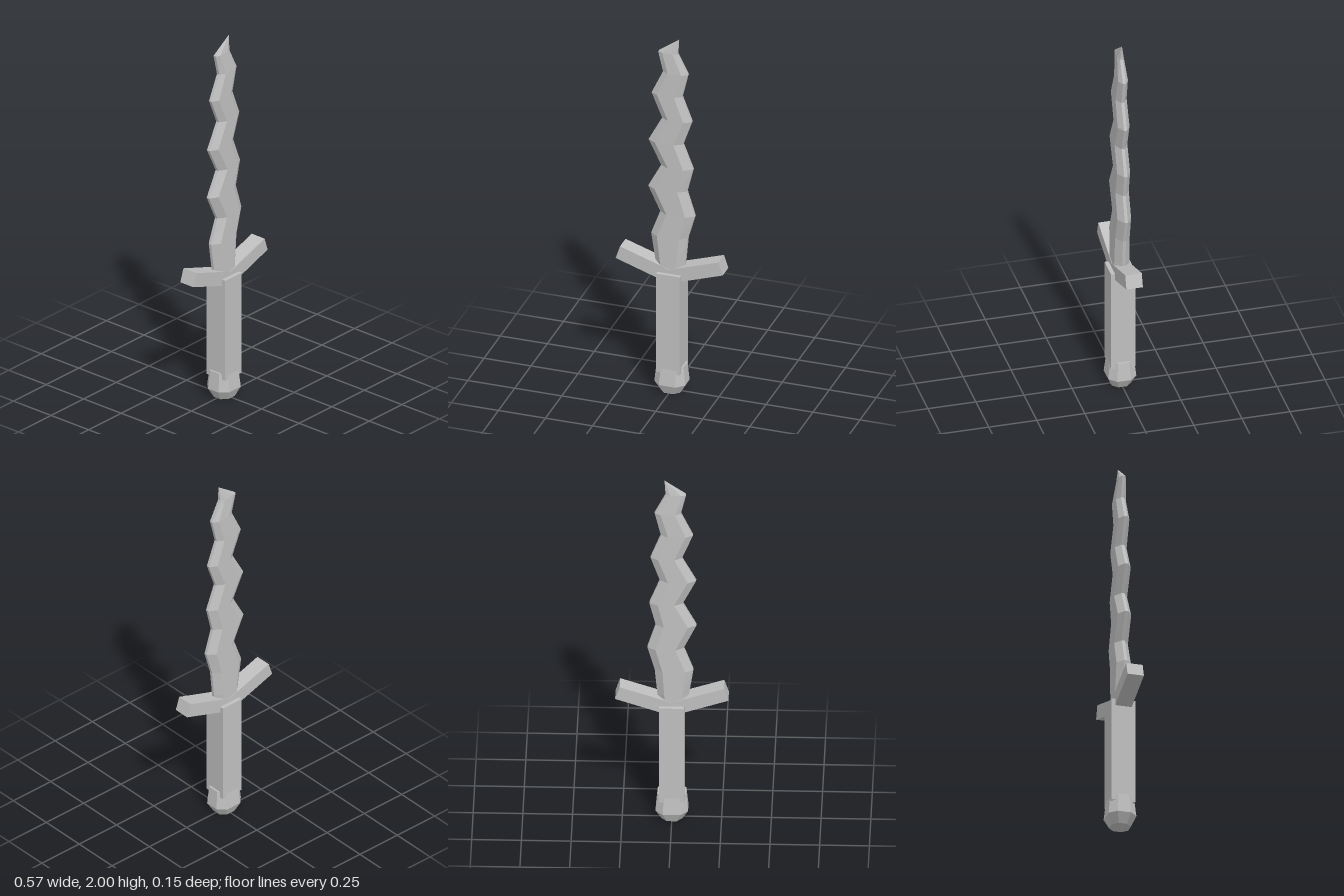
import * as THREE from 'three';

const steel = new THREE.MeshStandardMaterial({ color: 0xbfbfbf });
steel.name = 'grey steel';

// Closed flat-faced loft through rings of points (counterclockwise seen from above)
function loft(rings) {
  const pos = [];
  const tri = (a, b, c) => pos.push(...a, ...b, ...c);
  const n = rings[0].length;
  for (let i = 0; i < rings.length - 1; i++) {
    for (let j = 0; j < n; j++) {
      const k = (j + 1) % n, lo = rings[i], hi = rings[i + 1];
      tri(lo[j], lo[k], hi[k]);
      tri(lo[j], hi[k], hi[j]);
    }
  }
  const bottom = rings[0], top = rings[rings.length - 1];
  for (let j = 1; j < n - 1; j++) {
    tri(bottom[0], bottom[j + 1], bottom[j]);
    tri(top[0], top[j], top[j + 1]);
  }
  const g = new THREE.BufferGeometry();
  g.setAttribute('position', new THREE.Float32BufferAttribute(pos, 3));
  g.computeVertexNormals();
  return g;
}

// Eight-sided ring: flats at x0/x1 (half depth e), flats at +-z between f0 and f1
const ring = (y, x0, x1, e, f0, f1, z) => [
  [x1, y, e], [x1, y, -e], [f1, y, -z], [f0, y, -z],
  [x0, y, -e], [x0, y, e], [f0, y, z], [f1, y, z],
];

export function createModel() {
  const model = new THREE.Group();
  const add = (name, geometry) => {
    const mesh = new THREE.Mesh(geometry, steel);
    mesh.name = name;
    model.add(mesh);
    return mesh;
  };

  // Wavy bevelled blade: height, left edge, right edge, half depth, bevel width
  const waves = [
    [0.66, -0.075, 0.062, 0.041, 0.03],
    [0.74, -0.087, 0.074, 0.04, 0.036],
    [0.88, -0.108, 0.087, 0.038, 0.04],
    [1.01, -0.06, 0.124, 0.036, 0.042],
    [1.145, -0.124, 0.082, 0.035, 0.042],
    [1.275, -0.055, 0.114, 0.034, 0.044],
    [1.41, -0.122, 0.061, 0.033, 0.042],
    [1.545, -0.05, 0.108, 0.031, 0.038],
    [1.68, -0.106, 0.056, 0.029, 0.036],
    [1.81, -0.045, 0.087, 0.026, 0.03],
    [1.92, -0.071, 0.032, 0.017, 0.024],
    [2.0, 0.036, 0.038, 0.0005, 0.0008],
  ];
  add('blade', loft(waves.map(([y, l, r, z, b]) =>
    ring(y, l, r, Math.min(0.008, z / 2), l + b, r - b, z))));

  // Upswept crossguard, mirrored in x
  const half = [[0, 0.624], [0.285, 0.72], [0.262, 0.79], [0, 0.703]];
  const outline = [...half, [-0.262, 0.79], [-0.285, 0.72]];
  const guard = new THREE.ExtrudeGeometry(
    new THREE.Shape(outline.map(([x, y]) => new THREE.Vector2(x, y))),
    { depth: 0.086, bevelEnabled: false });
  guard.translate(0, 0, -0.043);
  add('crossguard', guard);

  // Square grip
  add('grip', new THREE.BoxGeometry(0.126, 0.56, 0.126)).position.y = 0.4;

  // Faceted pommel, with the grip corners breaking through its diagonal faces
  add('pommel', loft([
    ring(0, -0.052, 0.052, 0.022, -0.025, 0.025, 0.05),
    ring(0.052, -0.082, 0.082, 0.035, -0.045, 0.045, 0.073),
    ring(0.153, -0.072, 0.072, 0.03, -0.038, 0.038, 0.062),
  ]));

  return model;
}
